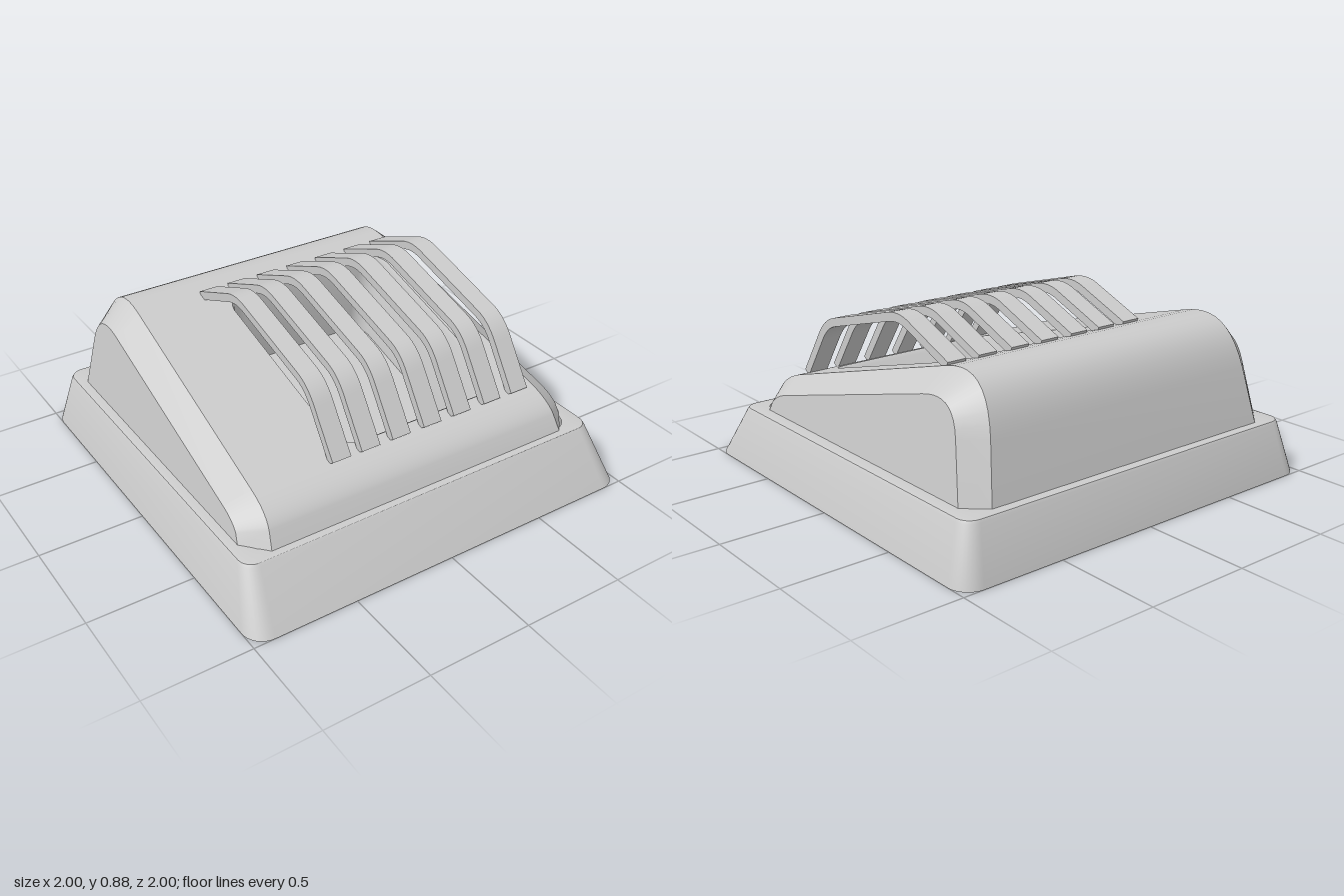
import * as THREE from 'three';
import { toCreasedNormals } from 'three/addons/utils/BufferGeometryUtils.js';

const material = new THREE.MeshStandardMaterial({ color: 0xcccccc, side: THREE.DoubleSide });

function addMesh(parent, name, geometry) {
  const mesh = new THREE.Mesh(geometry, material);
  mesh.name = name;
  parent.add(mesh);
  return mesh;
}

// Skin joining rows of equal point counts; each point is [x, y, z]
function loft(rows, closed = false) {
  const n = rows[0].length;
  const index = [];
  for (let r = 0; r < rows.length - 1; r++) {
    for (let i = 0; i < (closed ? n : n - 1); i++) {
      const a = r * n + i, b = r * n + (i + 1) % n;
      index.push(a, b, a + n, b, b + n, a + n);
    }
  }
  const geo = new THREE.BufferGeometry();
  geo.setAttribute('position', new THREE.Float32BufferAttribute(rows.flat(2), 3));
  geo.setIndex(index);
  return toCreasedNormals(geo, 0.5);
}

// Flat shape whose points are placed in space by a rule
function mappedShape(shape, rule) {
  const geo = new THREE.ShapeGeometry(shape);
  const p = geo.attributes.position;
  for (let i = 0; i < p.count; i++) p.setXYZ(i, ...rule(p.getX(i), p.getY(i)));
  geo.computeVertexNormals();
  return geo;
}

// Outline of a rounded rectangle as [u, v] points
function roundedRect(u0, u1, v0, v1, r, seg = 8) {
  const pts = [];
  const corners = [[u1 - r, v1 - r], [u0 + r, v1 - r], [u0 + r, v0 + r], [u1 - r, v0 + r]];
  corners.forEach(([cu, cv], k) => {
    for (let i = 0; i <= seg; i++) {
      const a = (k + i / seg) * Math.PI / 2;
      pts.push([cu + r * Math.cos(a), cv + r * Math.sin(a)]);
    }
  });
  return pts;
}

const v2 = (p) => new THREE.Vector2(p[0], p[1]);
const toShape = (pts) => new THREE.Shape(pts.map(v2));

// Wedge outline in (z, y): front rise, front bend, slope, back bend, back drop
const BEND = 10;
function wedge(start, rise, ctrl, slope0, slope1, c1, c2, drop, end) {
  const front = new THREE.QuadraticBezierCurve(v2(rise), v2(ctrl), v2(slope0)).getPoints(BEND);
  const back = new THREE.CubicBezierCurve(v2(slope1), v2(c1), v2(c2), v2(drop)).getPoints(BEND);
  return [v2(start), ...front, ...back, v2(end)];
}
const crown = wedge([0.8, 0.255], [0.76, 0.335], [0.72, 0.4], [0.6, 0.433],
  [-0.5, 0.735], [-0.68, 0.785], [-0.78, 0.72], [-0.83, 0.52], [-0.89, 0.255]);
const flank = wedge([0.69, 0.255], [0.665, 0.305], [0.63, 0.345], [0.55, 0.365],
  [-0.5, 0.64], [-0.62, 0.672], [-0.71, 0.655], [-0.74, 0.52], [-0.8, 0.255]);

// Tapering half-widths of the hood
const MID = -0.007;
const crownX = (y, side) => MID + side * (0.78 - (y - 0.26) * 0.155);
const flankX = (y, side) => MID + side * (0.878 - (y - 0.26) * 0.14);

// Point on the sloping face, sunk by a depth square to it
const TILT = Math.atan2(0.735 - 0.433, 1.1);
const onSlope = (x, z, depth = 0) => [
  x,
  0.433 + (0.6 - z) * Math.tan(TILT) - depth * Math.cos(TILT),
  z - depth * Math.sin(TILT),
];

function createBase() {
  const ring = (y, x, z0, z1, r) => roundedRect(-x, x, z0, z1, r).map(([u, v]) => [u, y, v]);
  return loft([
    ring(0, 1, -1, 1, 0.1),
    ring(0.245, 0.935, -0.935, 0.84, 0.07),
    ring(0.257, 0.928, -0.928, 0.83, 0.065),
    ring(0.26, 0.915, -0.918, 0.82, 0.06),
    ring(0.26, 0.855, -0.87, 0.78, 0.09),
  ], true);
}

function createHood() {
  const hood = new THREE.Group();
  hood.name = 'hood';

  // Curved front and back panels
  const across = (p) => [-1, 1].map((s) => [crownX(p.y, s), p.y, p.x]);
  addMesh(hood, 'frontPanel', loft(crown.slice(0, BEND + 2).map(across)));
  addMesh(hood, 'backPanel', loft(crown.slice(BEND + 2).map(across)));

  // Sloping panel with the pocket opening
  const opening = roundedRect(-0.29, 0.6, -0.44, 0.57, 0.1);
  const panel = toShape([
    [crownX(0.433, -1), 0.6], [crownX(0.433, 1), 0.6],
    [crownX(0.735, 1), -0.5], [crownX(0.735, -1), -0.5],
  ]);
  panel.holes.push(new THREE.Path(opening.map(v2)));
  addMesh(hood, 'slopePanel', mappedShape(panel, (x, z) => onSlope(x, z)));

  // Tapered pocket with a closed floor
  const depth = 0.44;
  const floor = roundedRect(-0.23, 0.54, -0.38, 0.47, 0.08);
  addMesh(hood, 'pocketWalls', loft([
    opening.map(([x, z]) => onSlope(x, z)),
    roundedRect(-0.28, 0.59, -0.43, 0.555, 0.095).map(([x, z]) => onSlope(x, z, 0.02)),
    floor.map(([x, z]) => onSlope(x, z, depth)),
  ], true));
  addMesh(hood, 'pocketFloor', mappedShape(toShape(floor), (x, z) => onSlope(x, z, depth)));

  // Chamfers and flat wedge-shaped sides
  for (const side of [-1, 1]) {
    const word = side > 0 ? 'left' : 'right';
    addMesh(hood, word + 'Chamfer', loft(crown.map((p, i) => [
      [crownX(p.y, side), p.y, p.x],
      [flankX(flank[i].y, side), flank[i].y, flank[i].x],
    ])));
    addMesh(hood, word + 'Side',
      mappedShape(new THREE.Shape(flank), (z, y) => [flankX(y, side), y, z]));
  }
  return hood;
}

// Bent strip in (z, y), extruded to the bar's width
function createBarGeometry() {
  const width = 0.095, half = 0.02;
  const path = new THREE.CurvePath();
  const line = (a, b) => path.add(new THREE.LineCurve(v2(a), v2(b)));
  const bend = (a, c, b) => path.add(new THREE.QuadraticBezierCurve(v2(a), v2(c), v2(b)));
  line([0.622, 0.43], [0.48, 0.638]);
  bend([0.48, 0.638], [0.43, 0.712], [0.36, 0.731]);
  line([0.36, 0.731], [-0.08, 0.849]);
  bend([-0.08, 0.849], [-0.16, 0.872], [-0.23, 0.841]);
  line([-0.23, 0.841], [-0.5, 0.73]);
  const mid = path.getPoints(8);
  const offset = (sign) => mid.map((p, i) => {
    const a = mid[Math.max(i - 1, 0)], b = mid[Math.min(i + 1, mid.length - 1)];
    const t = b.clone().sub(a).normalize();
    return new THREE.Vector2(p.x - t.y * half * sign, p.y + t.x * half * sign);
  });
  const shape = new THREE.Shape([...offset(1), ...offset(-1).reverse()]);
  const geo = new THREE.ExtrudeGeometry(shape, { depth: width, bevelEnabled: false });
  geo.translate(0, 0, -width / 2).rotateY(-Math.PI / 2);
  return toCreasedNormals(geo, 0.5);
}

export function createModel() {
  const model = new THREE.Group();
  model.name = 'ventHousing';
  addMesh(model, 'baseSkirt', createBase());
  model.add(createHood());

  // Guard bars over the pocket
  const bars = new THREE.Group();
  bars.name = 'guardBars';
  const barGeometry = createBarGeometry();
  [-0.338, -0.186, -0.023, 0.147, 0.313, 0.487, 0.647].forEach((x, i) => {
    addMesh(bars, 'guardBar' + (i + 1), barGeometry).position.x = x;
  });
  model.add(bars);
  return model;
}
